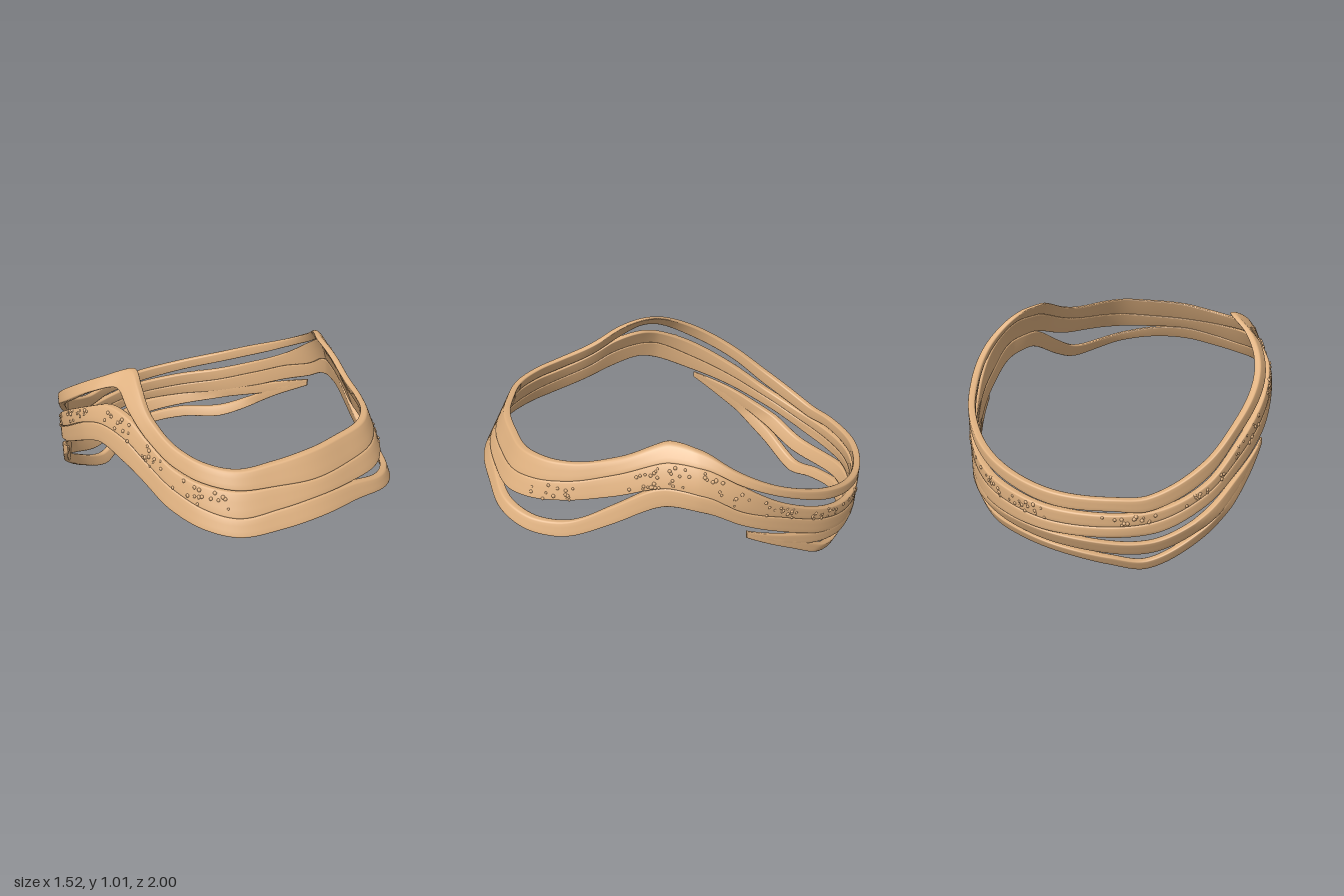
import * as THREE from 'three';
import { mergeGeometries } from 'three/addons/utils/BufferGeometryUtils.js';

const RAD = Math.PI / 180;

// Plan outline, one half: [angle from the front in degrees, radius]
const HALF = [[0, 1], [12, 0.99], [24, 0.985], [33, 0.94], [42, 0.87], [54, 0.785], [66, 0.745], [80, 0.725],
  [90, 0.74], [105, 0.78], [124, 0.84], [138, 0.9], [155, 0.957], [168, 0.985], [180, 1]];
const OUTLINE = [...HALF.slice(1).map(([a, r]) => [-a, r]).reverse(), ...HALF.slice(0, -1)];

// Band edges: [angle, top height, bottom height]; positive angles run to the left side
const UPPER = [[-165, 0.43, 0.37], [-155, 0.43, 0.36], [-138, 0.54, 0.46], [-124, 0.68, 0.61], [-105, 0.85, 0.77],
  [-92, 0.95, 0.88], [-80, 1.01, 0.935], [-68, 0.965, 0.87], [-56, 0.87, 0.79], [-42, 0.805, 0.73],
  [-24, 0.775, 0.7], [-12, 0.79, 0.7], [0, 0.81, 0.7], [24, 0.825, 0.72], [43, 0.83, 0.75], [58, 0.87, 0.8],
  [72, 0.93, 0.86], [80, 0.95, 0.88], [94, 0.925, 0.865], [105, 0.845, 0.79], [120, 0.73, 0.68],
  [135, 0.63, 0.57], [150, 0.54, 0.48], [165, 0.48, 0.42], [180, 0.445, 0.38]];
const MIDDLE = [[-155, 0.355, 0.3], [-138, 0.43, 0.38], [-124, 0.56, 0.49], [-105, 0.72, 0.63], [-90, 0.82, 0.74],
  [-80, 0.86, 0.77], [-66, 0.84, 0.75], [-56, 0.785, 0.7], [-42, 0.72, 0.64], [-24, 0.695, 0.59], [-12, 0.7, 0.61],
  [0, 0.7, 0.63], [24, 0.72, 0.63], [43, 0.75, 0.66], [58, 0.8, 0.7], [72, 0.86, 0.755], [80, 0.88, 0.77],
  [94, 0.865, 0.74], [105, 0.785, 0.65], [120, 0.64, 0.56], [135, 0.52, 0.45], [150, 0.43, 0.36],
  [165, 0.39, 0.32], [180, 0.365, 0.3]];
const LOWER = [[-155, 0.3, 0.24], [-138, 0.38, 0.32], [-124, 0.49, 0.42], [-105, 0.63, 0.54], [-90, 0.74, 0.64],
  [-80, 0.77, 0.68], [-66, 0.75, 0.65], [-56, 0.7, 0.61], [-42, 0.64, 0.55], [-24, 0.59, 0.515], [-12, 0.61, 0.53],
  [0, 0.63, 0.55], [12, 0.62, 0.55], [24, 0.58, 0.52], [36, 0.55, 0.485], [46, 0.565, 0.49], [58, 0.65, 0.56],
  [72, 0.75, 0.655], [80, 0.77, 0.68], [94, 0.74, 0.65], [105, 0.65, 0.57], [120, 0.56, 0.47],
  [135, 0.45, 0.36], [150, 0.36, 0.28], [165, 0.32, 0.255], [180, 0.3, 0.245]];
// Back strips with free tips; angles run from one side round the back to the other
const THIRD = [[107, 0.53, 0.505], [124, 0.43, 0.37], [138, 0.35, 0.285], [155, 0.275, 0.215], [180, 0.235, 0.165],
  [205, 0.185, 0.11], [222, 0.28, 0.2], [236, 0.39, 0.32], [253, 0.5, 0.475]];
const FOURTH = [[107, 0.515, 0.49], [124, 0.4, 0.34], [138, 0.26, 0.2], [150, 0.185, 0.125], [165, 0.175, 0.12],
  [180, 0.15, 0.1], [193, 0.1, 0.045], [205, 0.06, 0], [222, 0.19, 0.12], [236, 0.34, 0.27], [253, 0.49, 0.465]];

// Smooth interpolation of one table column, wrapped round the loop if closed
function sampler(rows, col, closed) {
  const p = closed
    ? [-360, 0, 360].flatMap(s => rows.map(r => [r[0] + s, r[col]]))
    : rows.map(r => [r[0], r[col]]);
  const slope = i => {
    const a = p[Math.max(i - 1, 0)], b = p[Math.min(i + 1, p.length - 1)];
    return (b[1] - a[1]) / (b[0] - a[0]);
  };
  return x => {
    let i = 0;
    while (i < p.length - 2 && x > p[i + 1][0]) i++;
    const h = p[i + 1][0] - p[i][0], t = (x - p[i][0]) / h, t2 = t * t, t3 = t2 * t;
    return (2 * t3 - 3 * t2 + 1) * p[i][1] + (t3 - 2 * t2 + t) * h * slope(i)
      + (3 * t2 - 2 * t3) * p[i + 1][1] + (t3 - t2) * h * slope(i + 1);
  };
}

const outline = sampler(OUTLINE, 1, true);

// Point on the common shell: leans in at the front, curls in at the sides, tucks in low at the back
function shell(angle, y, depth) {
  const c = Math.cos(angle * RAD), front = Math.max(0, c), back = Math.max(0, -c);
  const inset = front * 0.52 * (y - 0.55) + (1 - front) * 3.2 * Math.max(0, y - 0.62) ** 3
    + back * 0.45 * Math.max(0, 0.25 - y);
  const a = angle > 180 ? angle - 360 : angle;
  const r = outline(a) - inset - depth;
  return new THREE.Vector3(Math.sin(angle * RAD) * r, y, c * r);
}

// Ribbon with a rounded rectangular section lofted along the shell
function ribbon(rows, closed, thickness = 0.036) {
  const top = sampler(rows, 1, closed), bottom = sampler(rows, 2, closed);
  const start = closed ? -180 : rows[0][0], end = closed ? 180 : rows[rows.length - 1][0];
  const n = Math.round((end - start) / 1.5), rings = closed ? n : n + 1;
  const e = 0.008, pos = [], idx = [];
  // section as [share of height, bevel offset in height, share of depth]
  const section = [[0, 0, 0.25], [0, 0.3, 0.07], [0, 1, 0], [0.35, 0, 0], [0.65, 0, 0], [1, -1, 0], [1, -0.3, 0.07],
    [1, 0, 0.25], [1, 0, 0.75], [1, -0.3, 0.93], [1, -1, 1], [0.5, 0, 1], [0, 1, 1], [0, 0.3, 0.93], [0, 0, 0.75]];
  const m = section.length;
  for (let i = 0; i < rings; i++) {
    const a = start + (end - start) * i / n, hi = top(a), lo = bottom(a);
    const taper = closed ? 1 : Math.min(1, 0.35 + Math.min(a - start, end - a) / 40);
    for (const [v, b, d] of section) {
      const y = lo + (hi - lo) * v + b * Math.min(e, (hi - lo) * 0.25);
      pos.push(...shell(a, y, d * thickness * taper).toArray());
    }
  }
  for (let i = 0; i < n; i++) for (let j = 0; j < m; j++) {
    const k = (i + 1) % rings, l = (j + 1) % m;
    const A = i * m + j, B = k * m + j, C = k * m + l, D = i * m + l;
    idx.push(A, B, C, A, C, D);
  }
  // close free tips
  if (!closed) for (let j = 1; j < m - 1; j++) {
    const z = n * m;
    idx.push(0, j, j + 1, z, z + j + 1, z + j);
  }
  const g = new THREE.BufferGeometry();
  g.setAttribute('position', new THREE.Float32BufferAttribute(pos, 3));
  g.setIndex(idx);
  g.computeVertexNormals();
  return g;
}

// Clusters of small beads scattered over the middle and lower bands
function beads() {
  let seed = 7;
  const rand = () => (seed = (seed * 16807) % 2147483647) / 2147483647;
  const top = sampler(MIDDLE, 1, true), bottom = sampler(MIDDLE, 2, true);
  const parts = [];
  for (const centre of [-160, -138, -118, -96, -72, -50, -33, 38, 68, 80, 100, 118, 137, 154, 172]) {
    for (let i = 0; i < 14; i++) {
      const a = centre + (rand() - 0.5) * 15;
      const y = bottom(a) + (top(a) - bottom(a)) * (0.05 + 0.85 * rand());
      const r = 0.006 + 0.004 * rand();
      const p = shell(a, y, 0.002);
      parts.push(new THREE.SphereGeometry(r, 8, 6).translate(p.x, p.y, p.z));
    }
  }
  return mergeGeometries(parts);
}

export function createModel() {
  const group = new THREE.Group();
  const material = new THREE.MeshStandardMaterial({ color: 0xdeb07f });
  const add = (name, geometry) => {
    const mesh = new THREE.Mesh(geometry, material);
    mesh.name = name;
    group.add(mesh);
  };
  add('upperBand', ribbon(UPPER, true));
  add('middleBand', ribbon(MIDDLE, true));
  add('lowerBand', ribbon(LOWER, true));
  add('backStripUpper', ribbon(THIRD, false));
  add('backStripLower', ribbon(FOURTH, false));
  add('beads', beads());
  return group;
}
